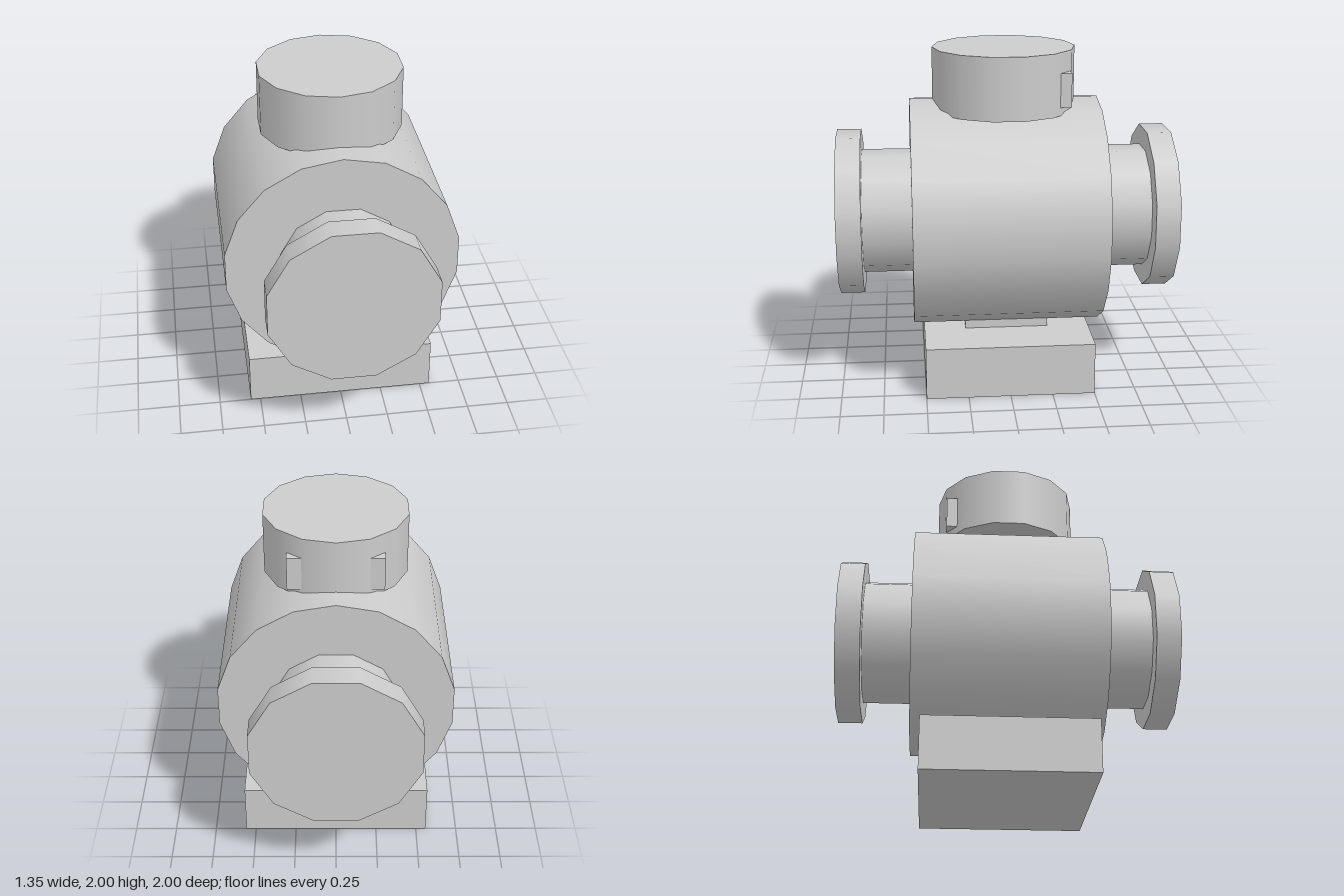
import * as THREE from 'three';

export function createModel() {
  const model = new THREE.Group();
  model.name = 'valve';
  const castMetal = new THREE.MeshStandardMaterial({ color: 0xcccccc });
  castMetal.name = 'cast metal grey';
  const axisY = 1.003; // height of the pipe axis

  function add(name, geometry, x, y, z) {
    const mesh = new THREE.Mesh(geometry, castMetal);
    mesh.name = name;
    mesh.position.set(x, y, z);
    model.add(mesh);
  }

  // Cylinder lying along z; turn spins it about its own axis
  function lyingCylinder(radius, length, sides, turn) {
    return new THREE.CylinderGeometry(radius, radius, length, sides)
      .rotateY(turn)
      .rotateX(Math.PI / 2);
  }

  // Base block and the pad that carries the drum
  add('base', new THREE.BoxGeometry(1.12, 0.313, 1), 0, 0.1565, 0);
  add('basePad', new THREE.BoxGeometry(0.49, 0.14, 0.5), 0, 0.37, 0);

  // Main drum, with a corner at top and bottom
  add('drum', lyingCylinder(0.687, 1.124, 18, 0), 0, axisY, 0);

  // Pipe stub and end flange at front and back
  for (const [side, s] of [['front', 1], ['back', -1]]) {
    add(side + 'Pipe', lyingCylinder(0.374, 0.35, 12, Math.PI / 12), 0, axisY, s * 0.695);
    add(side + 'Flange', lyingCylinder(0.498, 0.146, 12, Math.PI / 12), 0, axisY, s * 0.927);
  }

  // Upright cap, with a bar whose two ends show at its back
  add('cap', new THREE.CylinderGeometry(0.424, 0.424, 0.37, 14), 0, 1.815, 0);
  add('capBar', new THREE.BoxGeometry(0.548, 0.2, 0.12), 0, 1.778, -0.316);

  return model;
}
